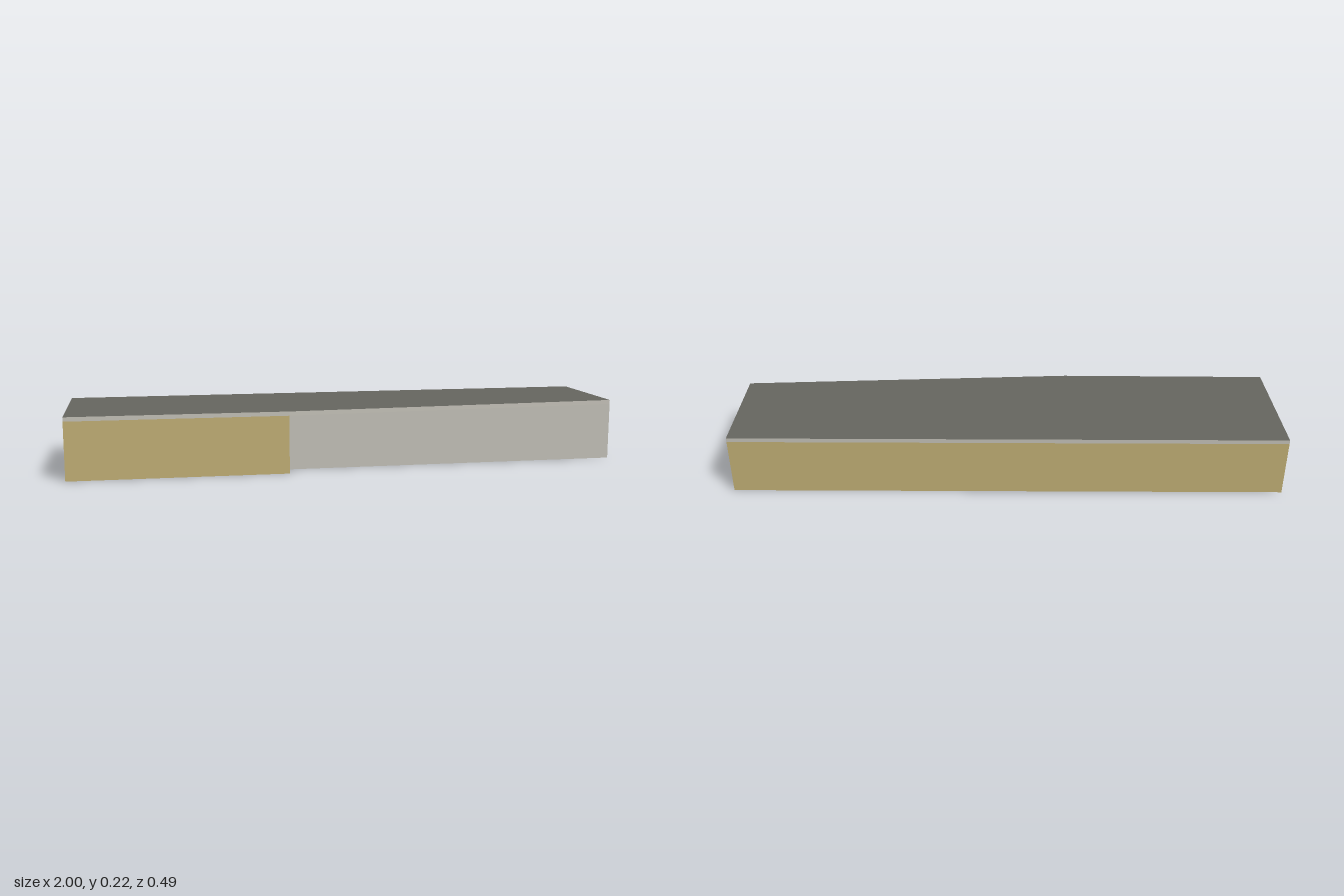
import * as THREE from 'three';

const HEIGHT = 0.222, EAVE = 0.207;

export function createModel() {
  const model = new THREE.Group();
  const material = (name, color) =>
    new THREE.MeshStandardMaterial({ name, color, side: THREE.DoubleSide });
  const roofing = material('dark grey roofing', 0x666660);
  const render = material('pale grey render', 0xc6c3ba);
  const cladding = material('tan cladding', 0xc3b177);

  // Roof slab: dark faces with a pale fascia around the edge
  const outline = [[-1, 0.23], [-0.23, 0.247], [1, 0.193], [1, -0.218], [-1, -0.247]];
  const shape = new THREE.Shape(outline.map(([x, z]) => new THREE.Vector2(x, -z)));
  const slab = new THREE.ExtrudeGeometry(shape, { depth: HEIGHT - EAVE, bevelEnabled: false });
  slab.rotateX(-Math.PI / 2).translate(0, EAVE, 0);
  const roof = new THREE.Mesh(slab, [roofing, render]);
  roof.name = 'roof';
  model.add(roof);

  // Upright sheet from a to b in plan, outer face on the right-hand side of a-b
  function wall(name, [ax, az], [bx, bz], mat) {
    const geometry = new THREE.PlaneGeometry(Math.hypot(bx - ax, bz - az), EAVE);
    geometry.rotateY(Math.atan2(az - bz, bx - ax));
    geometry.translate((ax + bx) / 2, EAVE / 2, (az + bz) / 2);
    const mesh = new THREE.Mesh(geometry, mat);
    mesh.name = name;
    model.add(mesh);
  }

  wall('backWall', [1, -0.218], [-1, -0.247], cladding);
  wall('endReturn', [-1, 0.17], [-1, 0.23], cladding);
  wall('frontCladWall', [-1, 0.23], [-0.23, 0.247], cladding);
  // Recessed stretch of the front
  wall('recessReturn', [-0.23, 0.247], [-0.23, 0.177], render);
  wall('recessedFrontWall', [-0.23, 0.177], [1, 0.193], render);

  return model;
}
